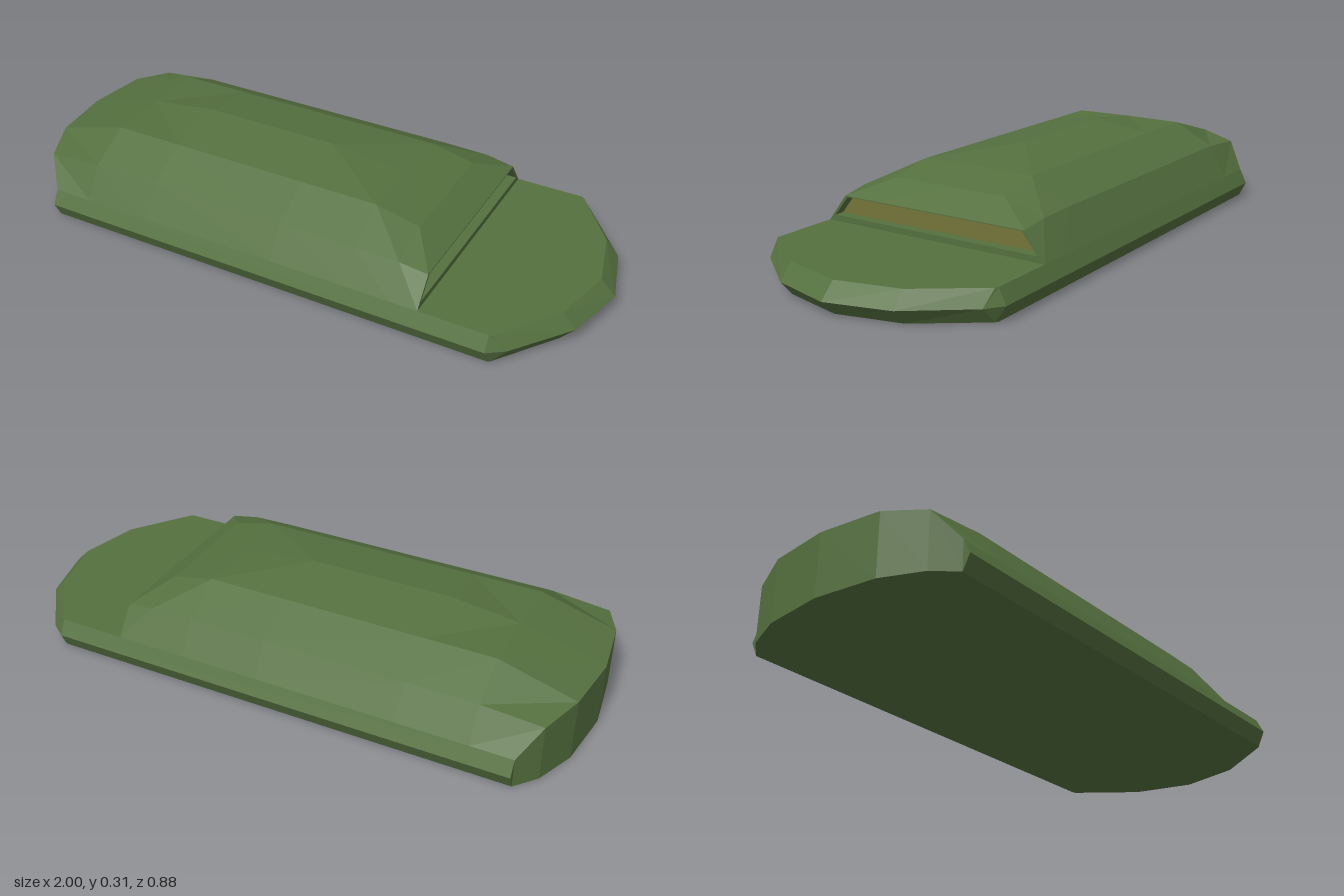
import * as THREE from 'three';

const GREEN = 0x55703f, OLIVE = 0x75743a;

// Joins pairs of rows (upper, lower; left to right seen from outside) into panels,
// mirrored across z = 0.
function panels(name, color, strips) {
  const pos = [];
  const tri = (a, b, c) => {
    const [A, B, C] = [a, b, c].map(p => new THREE.Vector3(...p));
    if (B.sub(A).cross(C.sub(A)).length() < 1e-8) return;
    pos.push(...a, ...b, ...c);
    for (const p of [a, c, b]) pos.push(p[0], p[1], -p[2]);
  };
  for (const [up, low] of strips) {
    for (let i = 0; i < up.length - 1; i++) {
      tri(up[i], low[i], low[i + 1]);
      tri(up[i], low[i + 1], up[i + 1]);
    }
  }
  const geo = new THREE.BufferGeometry();
  geo.setAttribute('position', new THREE.Float32BufferAttribute(pos, 3));
  geo.computeVertexNormals();
  const mesh = new THREE.Mesh(geo, new THREE.MeshStandardMaterial({ color, flatShading: true }));
  mesh.name = name;
  return mesh;
}

const atY = (row, y) => row.map(p => [p[0], y, p[2]]);
const centre = row => row.map(p => [p[0], p[1], 0]);

export function createModel() {
  const model = new THREE.Group();
  model.name = 'hull';

  // Lengthwise rows of the raised body
  const ridge = [[-1, 0.21, 0], [-0.72, 0.285, 0], [-0.48, 0.315, 0], [0, 0.315, 0],
    [0.27, 0.285, 0], [0.42, 0.25, 0], [0.515, 0.19, 0]];
  const shoulder = [[-0.975, 0.21, 0.21], [-0.72, 0.283, 0.21], [-0.48, 0.283, 0.21], [0, 0.283, 0.21],
    [0.27, 0.283, 0.21], [0.42, 0.25, 0.21], [0.515, 0.19, 0.21]];
  const chine = [[-0.92, 0.19, 0.345], [-0.72, 0.208, 0.35], [-0.48, 0.208, 0.35], [0, 0.208, 0.35],
    [0.27, 0.208, 0.35], [0.42, 0.205, 0.35], [0.515, 0.19, 0.345]];
  const belt = chine.map((p, i) => [i ? p[0] : -0.86, 0.1, 0.415]);
  model.add(panels('roof', GREEN, [[ridge, shoulder], [shoulder, chine]]));
  model.add(panels('bodySides', GREEN, [[chine, belt]]));

  // Upright curved end wall
  const endTop = [ridge[0], shoulder[0], chine[0], belt[0]];
  model.add(panels('endWall', GREEN, [
    [endTop, atY(endTop, 0)],
    [[belt[0], [-0.86, 0.05, 0.44]], [[-0.86, 0, 0.415], [-0.86, 0.05, 0.44]]],
  ]));

  // Lower slab with its bevelled rim and pointed nose
  const nose = [[0.745, 0.1, 0.415], [0.755, 0.1, 0.41], [0.9, 0.1, 0.21], [0.95, 0.1, 0]];
  const rimTop = [belt[0], ...nose];
  const rimMid = [[-0.86, 0.05, 0.44], [0.745, 0.05, 0.44], [0.8, 0.05, 0.4], [0.945, 0.05, 0.21], [1, 0.05, 0]];
  const rimLow = atY(rimTop, 0);
  model.add(panels('lowerRim', GREEN, [[rimTop, rimMid], [rimMid, rimLow]]));
  const deck = [[0.515, 0.1, 0.415], ...nose];
  model.add(panels('frontDeck', GREEN, [[centre(deck), deck]]));
  const floor = [...atY(endTop, 0), ...rimLow.slice(1)];
  model.add(panels('underside', GREEN, [[floor, centre(floor)]]));

  // Window frame, recess and pane
  const fx = 0.515, bx = 0.48;
  const top = x => [x, 0.187, 0.335], sill = x => [x, 0.12, 0.39];
  const mid = p => [p[0], p[1], 0];
  const tip = chine[6], foot = [fx, 0.1, 0.415];
  model.add(panels('windowFrame', GREEN, [
    [[tip, top(fx)], [foot, sill(fx)]],
    [[tip, mid(tip)], [top(fx), mid(top(fx))]],
    [[sill(fx), mid(sill(fx))], [foot, mid(foot)]],
    [[mid(sill(bx)), mid(sill(fx))], [sill(bx), sill(fx)]],
    [[top(bx), top(fx)], [mid(top(bx)), mid(top(fx))]],
    [[top(fx), top(bx)], [sill(fx), sill(bx)]],
  ]));
  model.add(panels('window', OLIVE, [[[top(bx), mid(top(bx))], [sill(bx), mid(sill(bx))]]]));
  return model;
}
